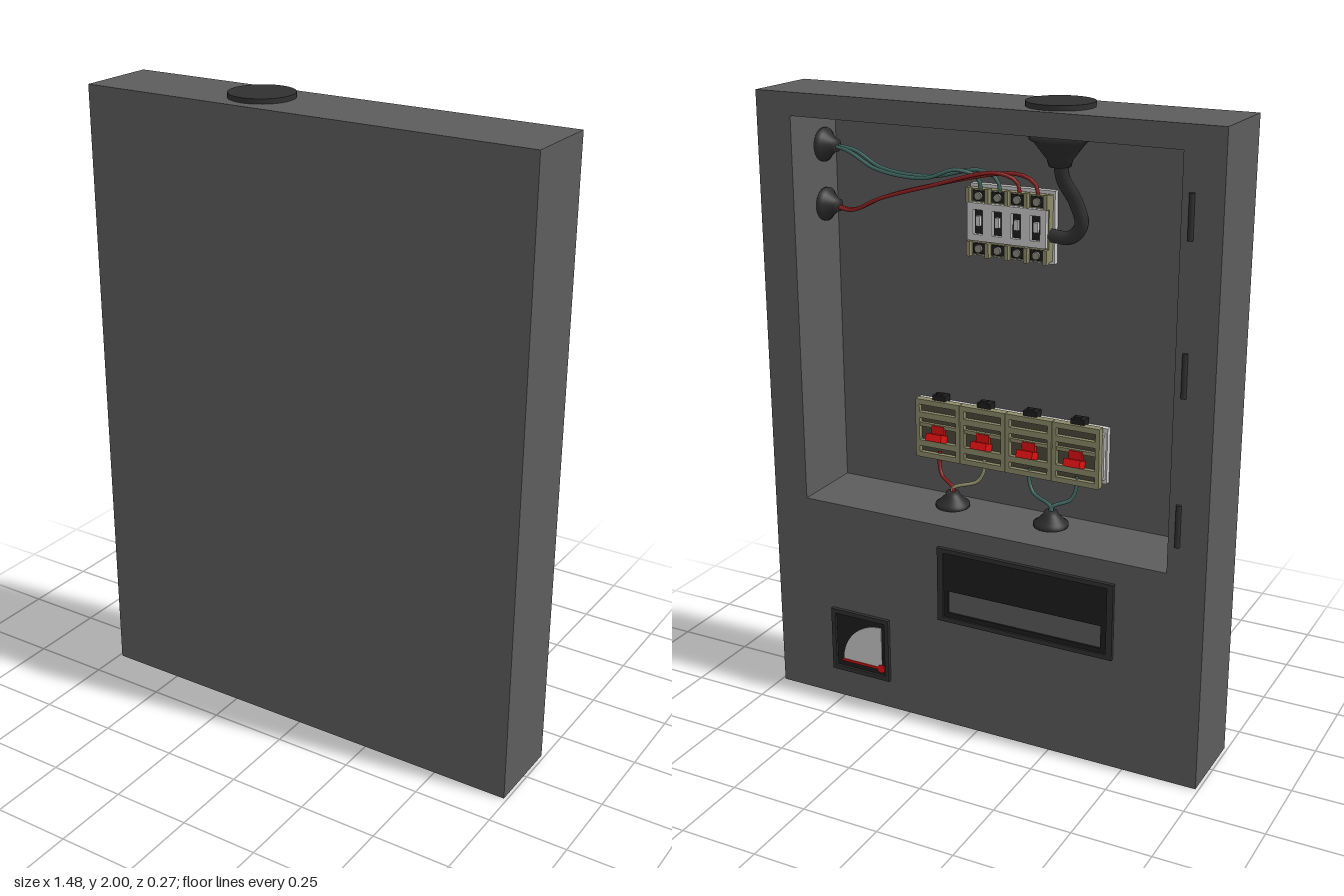
import * as THREE from 'three';

const mat = (color, side = THREE.FrontSide) => new THREE.MeshStandardMaterial({ color, side });
const M = {
  body: mat(0x5c5c5c), dark: mat(0x303030), black: mat(0x1e1e1e), white: mat(0xc4c4c0),
  beige: mat(0x8c8a68), red: mat(0xe01010), teal: mat(0x3f6660), wireRed: mat(0x8a2020), metal: mat(0x8a8a80),
};

export function createModel() {
  const root = new THREE.Group();

  const add = (name, geo, m, p = [0, 0, 0], parent = root) => {
    const mesh = new THREE.Mesh(geo, m);
    mesh.name = name;
    mesh.position.set(...p);
    parent.add(mesh);
    return mesh;
  };
  const box = (name, m, size, p, parent) => add(name, new THREE.BoxGeometry(...size), m, p, parent);
  const group = (name, p = [0, 0, 0]) => {
    const g = new THREE.Group();
    g.name = name;
    g.position.set(...p);
    root.add(g);
    return g;
  };
  const rect = (S, x0, y0, x1, y1) => {
    const s = new S();
    s.moveTo(x0, y0); s.lineTo(x1, y0); s.lineTo(x1, y1); s.lineTo(x0, y1); s.closePath();
    return s;
  };
  // Plate with rectangular openings, given as [x0, y0, x1, y1]
  const plate = (name, m, outer, holes, z0, z1, parent) => {
    const s = rect(THREE.Shape, ...outer);
    holes.forEach(h => s.holes.push(rect(THREE.Path, ...h)));
    return add(name, new THREE.ExtrudeGeometry(s, { depth: z1 - z0, bevelEnabled: false }), m, [0, 0, z0], parent);
  };
  const tube = (name, m, pts, r) => add(name, new THREE.TubeGeometry(
    new THREE.CatmullRomCurve3(pts.map(p => new THREE.Vector3(...p))), 32, r, 10, false), m);

  // Cabinet: deep frame open at the back, closed by the front plate
  plate('cabinetFrame', M.body, [-0.74, 0, 0.74, 1.985], [[-0.62, 0.69, 0.62, 1.915]], -0.125, 0.12);
  box('cabinetFrontPlate', M.body, [1.48, 1.985, 0.015], [0, 0.9925, 0.1275]);
  add('topCap', new THREE.CylinderGeometry(0.1, 0.1, 0.015, 40), M.dark, [-0.205, 1.9925, 0]);

  // Hinge pins beside the opening
  [0.845, 1.295, 1.74].forEach(y =>
    add('hinge', new THREE.CylinderGeometry(0.008, 0.008, 0.13, 14), M.dark, [-0.65, y, -0.129]));

  // Display panel with a long window
  plate('displayFrame', M.dark, [-0.46, 0.37, 0.135, 0.62], [[-0.44, 0.385, 0.115, 0.605]], -0.137, -0.124);
  plate('displayPanel', M.black, [-0.44, 0.385, 0.115, 0.605], [[-0.42, 0.4, 0.1, 0.475]], -0.131, -0.124);

  // Dial meter
  plate('meterFrame', M.dark, [0.32, 0.1, 0.535, 0.32], [[0.335, 0.115, 0.52, 0.305]], -0.137, -0.124);
  box('meterFace', M.black, [0.19, 0.195, 0.004], [0.4275, 0.21, -0.127]);
  const fan = new THREE.Shape();
  fan.moveTo(0, 0); fan.lineTo(0.145, 0); fan.absarc(0, 0, 0.145, 0, Math.PI / 2, false); fan.closePath();
  add('meterDial', new THREE.ExtrudeGeometry(fan, { depth: 0.002, bevelEnabled: false, curveSegments: 20 }),
    M.white, [0.35, 0.14, -0.131]);
  box('meterNeedle', M.red, [0.15, 0.008, 0.003], [0.425, 0.138, -0.132]);
  const pivot = add('meterPivot', new THREE.CylinderGeometry(0.014, 0.014, 0.004, 18), M.red, [0.352, 0.138, -0.132]);
  pivot.rotation.x = Math.PI / 2;

  // Rubber cable glands, axis along local +y
  const gland = (p, r, h, rot = 0) => {
    const prof = [[0, 0], [r, 0], [r, h * 0.22], [r * 0.85, h * 0.3], [r * 0.42, h * 0.8], [r * 0.36, h], [0, h]];
    const g = add('cableGland', new THREE.LatheGeometry(prof.map(q => new THREE.Vector2(...q)), 28),
      mat(0x2c2c2c, THREE.DoubleSide), p);
    g.rotation.z = rot;
  };
  gland([0.62, 1.62, 0.045], 0.052, 0.055, Math.PI / 2);
  gland([0.62, 1.805, 0.045], 0.052, 0.055, Math.PI / 2);
  gland([0.17, 0.69, 0.034], 0.055, 0.05);
  gland([-0.175, 0.69, 0.034], 0.055, 0.05);
  gland([-0.205, 1.915, 0], 0.09, 0.1, Math.PI);

  // Conduit from the ceiling into the side of the main breaker
  tube('conduit', M.dark, [[-0.205, 1.86, 0], [-0.205, 1.78, 0.02], [-0.225, 1.7, 0.07],
    [-0.235, 1.63, 0.09], [-0.2, 1.59, 0.092], [-0.13, 1.59, 0.092]], 0.021);

  // Main breaker: four poles with terminals above and below
  const main = group('mainBreaker', [-0.005, 1.61, 0]);
  box('mainBase', M.white, [0.28, 0.22, 0.02], [0, 0, 0.11], main);
  box('mainBody', M.beige, [0.268, 0.2, 0.03], [0, 0, 0.088], main);
  plate('mainCover', M.white, [-0.13, -0.055, 0.13, 0.06],
    [-0.095, -0.032, 0.031, 0.094].map(x => [x - 0.016, -0.035, x + 0.016, 0.04]), 0.058, 0.075, main);
  for (let i = 0; i < 4; i++) {
    const x = -0.096 + i * 0.064;
    box('mainWindow', M.black, [0.04, 0.085, 0.004], [x, 0, 0.073], main);
    box('mainToggle', M.white, [0.014, 0.03, 0.014], [x, 0.005, 0.066], main);
    for (const s of [-1, 1]) {
      box('terminalPocket', M.black, [0.042, 0.032, 0.006], [x, s * 0.08, 0.072], main);
      const screw = add('terminalScrew', new THREE.CylinderGeometry(0.012, 0.012, 0.012, 14), M.metal,
        [x, s * 0.08, 0.067], main);
      screw.rotation.x = Math.PI / 2;
    }
  }
  for (let i = 0; i < 5; i++)
    for (const s of [-1, 1])
      box('terminalDivider', M.beige, [0.012, 0.045, 0.02], [-0.128 + i * 0.064, s * 0.082, 0.066], main);

  // Switch row: four modules on a stepped backing
  const row = group('switchRow', [0, 0.922, 0]);
  box('rowBase', M.white, [0.66, 0.18, 0.02], [0, 0, 0.11], row);
  box('rowMiddle', M.white, [0.65, 0.15, 0.016], [0, 0, 0.094], row);
  for (let i = 0; i < 4; i++) {
    const x = 0.24 - i * 0.16, l = x - 0.065, r = x + 0.065;
    box('switchCore', M.beige, [0.158, 0.195, 0.008], [x, 0, 0.086], row);
    plate('switchCover', M.beige, [x - 0.079, -0.0975, x + 0.079, 0.0975],
      [[l, 0.055, r, 0.08], [l, -0.04, r, 0.035], [l, -0.08, r, -0.06]], 0.064, 0.083, row);
    box('switchRecess', mat(0x4a483a), [0.14, 0.17, 0.004], [x, 0, 0.081], row);
    box('switchRail', M.beige, [0.13, 0.012, 0.012], [x, 0.012, 0.074], row);
    const lever = box('switchLever', M.red, [0.055, 0.024, 0.045], [x, -0.022, 0.057], row);
    lever.rotation.x = 0.35;
    box('switchLeverBase', M.red, [0.045, 0.045, 0.012], [x, -0.008, 0.071], row);
    // Mounting clip on the upper edge
    box('clip', M.black, [0.045, 0.022, 0.035], [x, 0.103, 0.092], row);
    box('clipTab', M.black, [0.02, 0.012, 0.016], [x, 0.116, 0.083], row);
  }

  // Feed wires from the side glands to the top of the main breaker
  [['teal', 0.09, 1.805, 0.03], ['teal', 0.025, 1.805, 0.06], ['wireRed', -0.04, 1.62, 0.04], ['wireRed', -0.1, 1.62, 0.055]]
    .forEach(([c, x, y, z]) => tube('feedWire', M[c], [[0.6, y, 0.045], [0.52, y - 0.01, z],
      [0.42, (y + 1.73) / 2 - 0.02, z], [0.25, 1.72 + (y - 1.7) * 0.15, z], [x + 0.07, 1.765, z + 0.02],
      [x + 0.01, 1.74, 0.08], [x, 1.69, 0.082]], 0.006));

  // Outgoing wires from the switches down to the floor glands
  [['wireRed', 0.24, 0.17], ['beige', 0.08, 0.17], ['teal', -0.08, -0.175], ['teal', -0.24, -0.175]]
    .forEach(([c, x, gx]) => tube('outgoingWire', M[c], [[x, 0.85, 0.08], [x, 0.81, 0.075],
      [x * 0.8 + gx * 0.2, 0.775, 0.065], [gx, 0.75, 0.036], [gx, 0.72, 0.034]], 0.006));

  return root;
}
